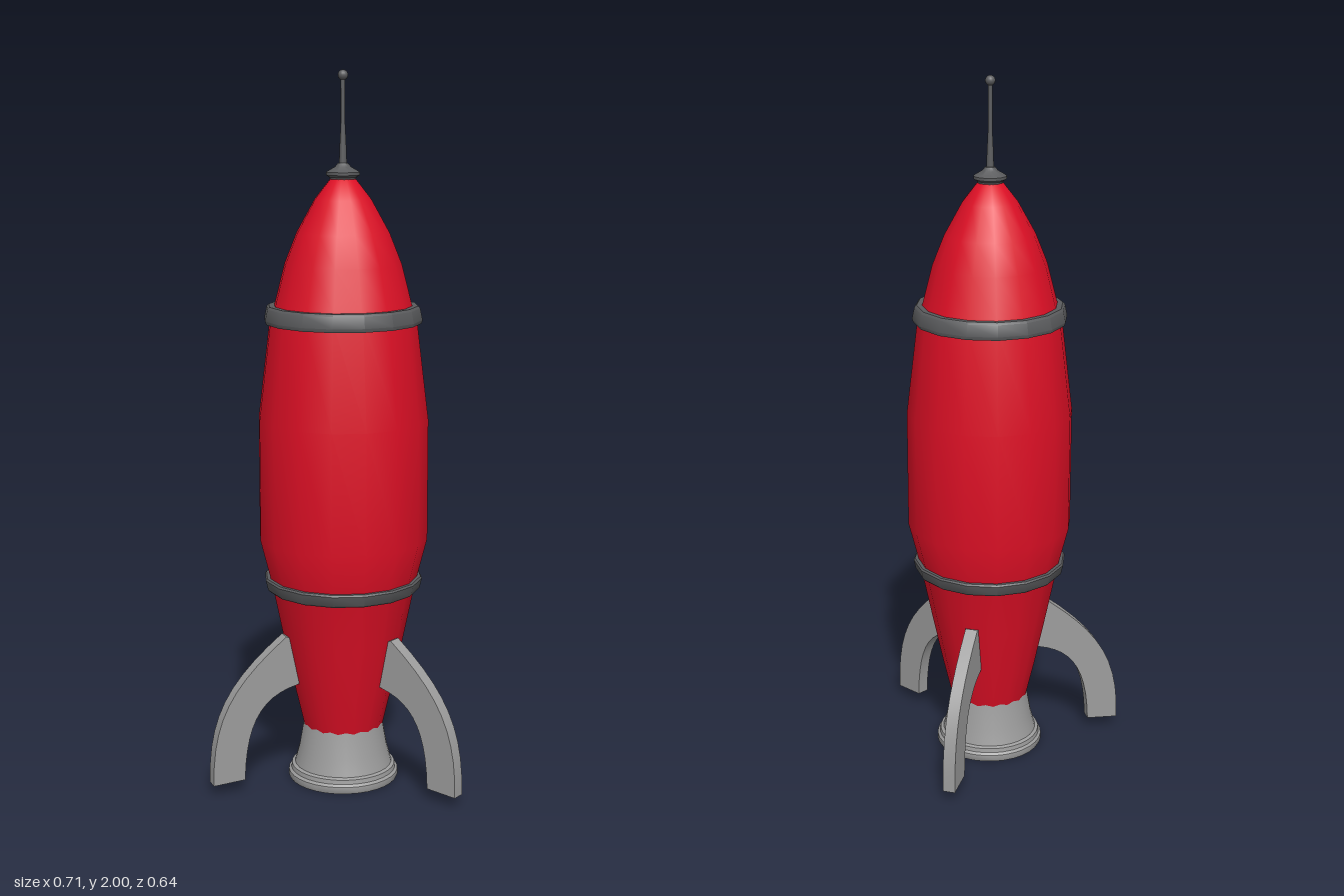
import * as THREE from 'three';
import { toCreasedNormals } from 'three/addons/utils/BufferGeometryUtils.js';

const material = (name, color) => {
  const m = new THREE.MeshStandardMaterial({ color });
  m.name = name;
  return m;
};

export function createModel() {
  const red = material('red paint', 0xdd0f25);
  const lightGrey = material('light grey metal', 0x9c9c9c);
  const darkGrey = material('dark grey metal', 0x5a5b5d);

  const rocket = new THREE.Group();
  rocket.name = 'rocket';
  rocket.position.z = 0.08;

  const add = (name, geometry, mat) => {
    const mesh = new THREE.Mesh(geometry, mat);
    mesh.name = name;
    rocket.add(mesh);
    return mesh;
  };
  const points = (list) => list.map(([x, y]) => new THREE.Vector2(x, y));
  const lathe = (list, segments) => new THREE.LatheGeometry(points(list), segments);
  const creased = (geometry) => toCreasedNormals(geometry, 0.6);

  // Sixteen-sided hull, smooth shaded
  add('hull', lathe([
    [0.113, 0.155], [0.14, 0.27], [0.172, 0.42], [0.205, 0.58], [0.238, 0.71],
    [0.238, 1.05], [0.203, 1.34], [0.19, 1.37], [0.162, 1.48], [0.128, 1.565],
    [0.078, 1.655], [0.035, 1.71], [0, 1.72],
  ], 16), red);

  // Raised bands around the hull
  add('upperBand', creased(lathe([
    [0.19, 1.318], [0.217, 1.318], [0.22, 1.328], [0.213, 1.36], [0.207, 1.366], [0.18, 1.366],
  ], 16)), darkGrey);
  add('lowerBand', creased(lathe([
    [0.19, 0.563], [0.213, 0.563], [0.218, 0.568], [0.224, 0.595], [0.22, 0.6], [0.19, 0.6],
  ], 16)), darkGrey);

  // Hollow flared nozzle with a lip, closed inside at the top
  add('nozzle', creased(lathe([
    [0, 0.15], [0.095, 0.15], [0.112, 0.08], [0.134, 0.0], [0.155, 0.0],
    [0.158, 0.006], [0.157, 0.02], [0.15, 0.026], [0.148, 0.038], [0.139, 0.042],
    [0.126, 0.09], [0.113, 0.165], [0, 0.165],
  ], 32)), lightGrey);

  // Nose cap, antenna rod and tip
  add('noseCap', creased(lathe([
    [0, 1.7], [0.034, 1.704], [0.037, 1.714], [0.046, 1.72], [0.046, 1.728],
    [0.038, 1.733], [0.022, 1.742], [0.014, 1.752], [0, 1.754],
  ], 24)), darkGrey);
  add('antenna', lathe([
    [0.011, 1.745], [0.009, 1.8], [0.006, 1.86], [0.006, 1.985],
  ], 12), darkGrey);
  add('antennaTip', new THREE.SphereGeometry(0.014, 16, 12), darkGrey).position.y = 1.986;

  // Three curved legs, spaced evenly
  const outline = new THREE.Shape();
  outline.moveTo(0.13, 0.3);
  outline.lineTo(0.175, 0.288);
  outline.bezierCurveTo(0.26, 0.262, 0.303, 0.19, 0.307, 0.035);
  outline.lineTo(0.4, 0.03);
  outline.bezierCurveTo(0.402, 0.22, 0.345, 0.315, 0.18, 0.44);
  outline.lineTo(0.13, 0.42);
  const thickness = 0.036;
  const legGeometry = creased(new THREE.ExtrudeGeometry(outline, {
    depth: thickness, bevelEnabled: false, curveSegments: 10,
  }).translate(0, 0, -thickness / 2));
  ['backLeg', 'rightLeg', 'leftLeg'].forEach((name, i) => {
    add(name, legGeometry, lightGrey).rotation.y = Math.PI / 2 + (i * Math.PI * 2) / 3;
  });

  const model = new THREE.Group();
  model.add(rocket);
  return model;
}
